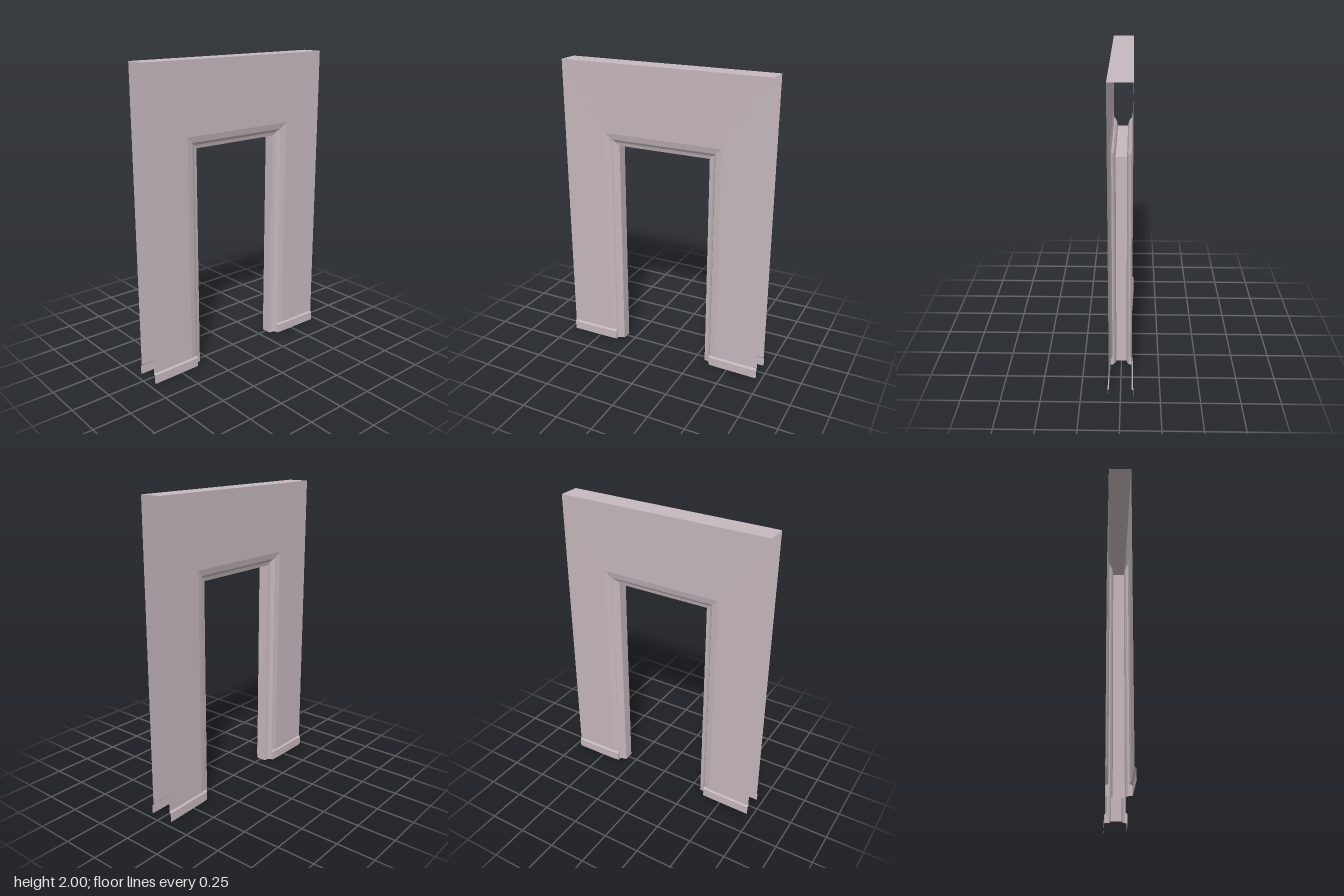
import * as THREE from 'three';

// Flat-faced mesh from a list of four-cornered faces
function quadMesh(name, quads, material) {
  const pos = [];
  for (const [a, b, c, d] of quads) pos.push(...a, ...b, ...c, ...a, ...c, ...d);
  const geo = new THREE.BufferGeometry();
  geo.setAttribute('position', new THREE.Float32BufferAttribute(pos, 3));
  geo.computeVertexNormals();
  const mesh = new THREE.Mesh(geo, material);
  mesh.name = name;
  return mesh;
}

// Sweeps a profile [half width, height, z, foot y] up, over and down the doorway
function archMesh(name, profile, material) {
  const path = ([w, h, z], foot) => [[-w, foot, z], [-w, h, z], [w, h, z], [w, foot, z]];
  const quads = [];
  for (let i = 0; i < profile.length - 1; i++) {
    const foot = Math.max(profile[i][3], profile[i + 1][3]);
    const a = path(profile[i], foot), b = path(profile[i + 1], foot);
    for (let k = 0; k < 3; k++) quads.push([a[k], b[k], b[k + 1], a[k + 1]]);
  }
  return quadMesh(name, quads, material);
}

export function createModel() {
  const group = new THREE.Group();
  const plaster = new THREE.MeshStandardMaterial({ color: 0xc6b8be, side: THREE.DoubleSide });
  plaster.name = 'mauve plaster';

  const W = 0.712, H = 2, Z = 0.071, BASE = 0.07;
  // Wall face with a shallow bevel towards the doorway
  const wall = [
    [W, H, Z, BASE],
    [0.41, 1.545, 0.068, BASE],
    [0.368, 1.505, 0.059, BASE],
  ];
  // Stepped door frame from the wall edge to the inner jamb
  const frame = [
    [0.368, 1.505, 0.059, 0],
    [0.362, 1.5, 0.05, 0],
    [0.345, 1.485, 0.04, 0],
    [0.32, 1.462, 0.034, 0],
  ];
  const mirrorBack = (p) => p.map(([w, h, z, f]) => [w, h, -z, f]).reverse();

  group.add(archMesh('frontWall', wall, plaster));
  group.add(archMesh('doorFrame', [...frame, ...mirrorBack(frame)], plaster));
  group.add(archMesh('backWall', mirrorBack(wall), plaster));

  // Top cap; the sides and underside stay open
  group.add(quadMesh('topCap', [[[-W, H, Z], [W, H, Z], [W, H, -Z], [-W, H, -Z]]], plaster));

  // Skirting boards on both faces, either side of the doorway
  for (const sx of [-1, 1]) for (const sz of [-1, 1]) {
    const rail = (x, bulge, wallZ) => [
      [x * sx, 0, bulge * sz], [x * sx, 0.06, bulge * sz], [x * sx, BASE, wallZ * sz],
    ];
    const inner = rail(0.366, 0.074, 0.059), outer = rail(W, 0.081, Z);
    const mid = rail(0.41, 0.077, 0.068);
    const back = [0.366 * sx, 0, 0.059 * sz];
    const quads = [[back, inner[0], inner[1], inner[2]]];
    for (const [a, b] of [[inner, mid], [mid, outer]]) {
      for (let k = 0; k < 2; k++) quads.push([a[k], b[k], b[k + 1], a[k + 1]]);
    }
    if (sx * sz < 0) quads.forEach((q) => q.reverse());
    group.add(quadMesh((sz > 0 ? 'front' : 'back') + (sx > 0 ? 'Left' : 'Right') + 'Skirting', quads, plaster));
  }
  return group;
}
